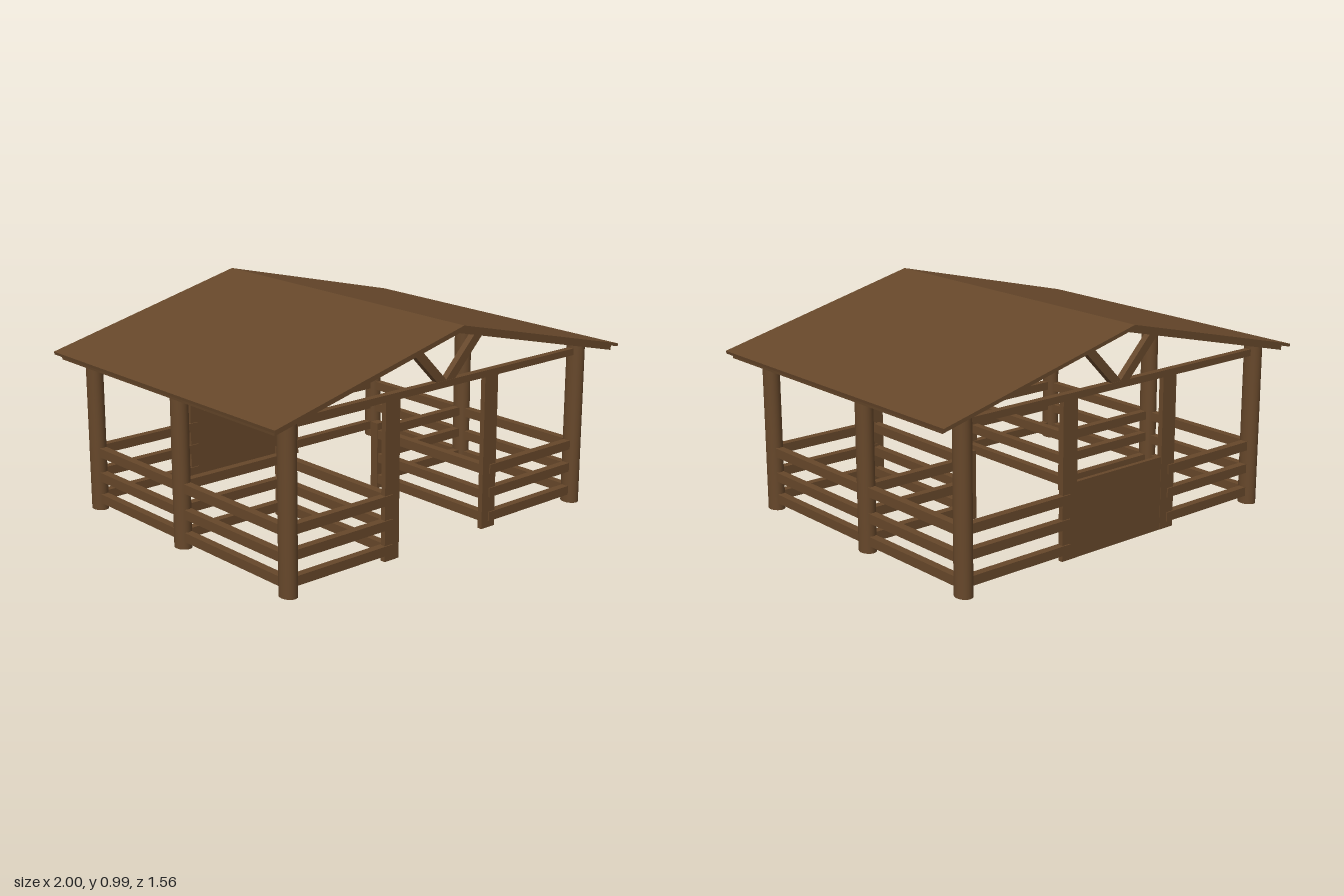
import * as THREE from 'three';

const wood = new THREE.MeshStandardMaterial({ color: 0x66472a });

// Plan positions shared by the posts and rails
const SIDE = [-0.85, 0.84], DOOR = [-0.3, 0.28];
const FRONT = 0.663, MID = -0.045, BACK = -0.69;

export function createModel() {
  const model = new THREE.Group();

  const add = (name, geometry, x, y, z) => {
    const mesh = new THREE.Mesh(geometry, wood);
    mesh.name = name;
    mesh.position.set(x, y, z);
    model.add(mesh);
    return mesh;
  };
  // Box given by its limits on each axis
  const box = (name, x0, x1, y0, y1, z0, z1) => add(name,
    new THREE.BoxGeometry(Math.abs(x1 - x0), y1 - y0, Math.abs(z1 - z0)),
    (x0 + x1) / 2, (y0 + y1) / 2, (z0 + z1) / 2);

  // Three rails between two points along x or along z
  const railsX = (name, xa, xb, z) => {
    for (const y of [0.06, 0.172, 0.28]) box(name, xa, xb, y - 0.021, y + 0.021, z - 0.018, z + 0.018);
  };
  const railsZ = (name, x, za, zb) => {
    for (const y of [0.056, 0.16, 0.276]) box(name, x - 0.018, x + 0.018, y - 0.021, y + 0.021, za, zb);
  };

  // Gable roof layer: a bent strip extruded along z
  const roofLayer = (name, halfWidth, ridgeTop, eaveTop, thick, z0, z1) => {
    const s = new THREE.Shape();
    s.moveTo(-halfWidth, eaveTop);
    s.lineTo(-halfWidth + 0.003, eaveTop - thick);
    s.lineTo(0, ridgeTop - thick);
    s.lineTo(halfWidth - 0.003, eaveTop - thick);
    s.lineTo(halfWidth, eaveTop);
    s.lineTo(0, ridgeTop);
    s.closePath();
    add(name, new THREE.ExtrudeGeometry(s, { depth: z1 - z0, bevelEnabled: false }), 0, 0, z0);
  };
  roofLayer('roofCover', 1, 0.988, 0.745, 0.013, -0.78, 0.776);
  roofLayer('roofDeck', 0.982, 0.975, 0.737, 0.024, -0.745, 0.75);

  // Round main posts, slightly deeper than wide
  for (const x of SIDE) for (const z of [FRONT, MID, BACK]) {
    add('mainPost', new THREE.CylinderGeometry(1, 1, 0.75, 24), x, 0.375, z).scale.set(0.036, 1, 0.044);
  }

  // Gable ends: tie beam, V braces and flat opening posts
  for (const z of [FRONT, BACK]) {
    box('tieBeam', -0.86, 0.85, 0.705, 0.735, z - 0.016, z + 0.016);
    for (const s of [-1, 1]) {
      const dx = 0.195, dy = 0.2;
      const brace = add('gableBrace', new THREE.BoxGeometry(0.04, Math.hypot(dx, dy), 0.03),
        s * (0.01 + dx / 2), 0.72 + dy / 2, z);
      brace.rotation.z = -s * Math.atan2(dx, dy);
    }
    for (const x of DOOR) box('openingPost', x - 0.04, x + 0.04, 0.01, 0.71, z - 0.012, z + 0.012);
  }

  // Solid panel closing the back opening
  box('backPanel', -0.27, 0.25, 0.01, 0.345, BACK - 0.01, BACK + 0.01);

  // Rails around the outside and the two inner pens
  SIDE.forEach((x, i) => {
    const door = DOOR[i];
    for (const z of [FRONT, BACK]) railsX('endRail', x, door, z);
    railsZ('sideRail', x, BACK, FRONT);
    railsX('penCrossRail', x, door, MID);
    railsZ('penRail', door, MID, FRONT);
    box('penPost', door - 0.022, door + 0.022, 0.01, 0.33, MID - 0.022, MID + 0.022);
  });

  return model;
}
